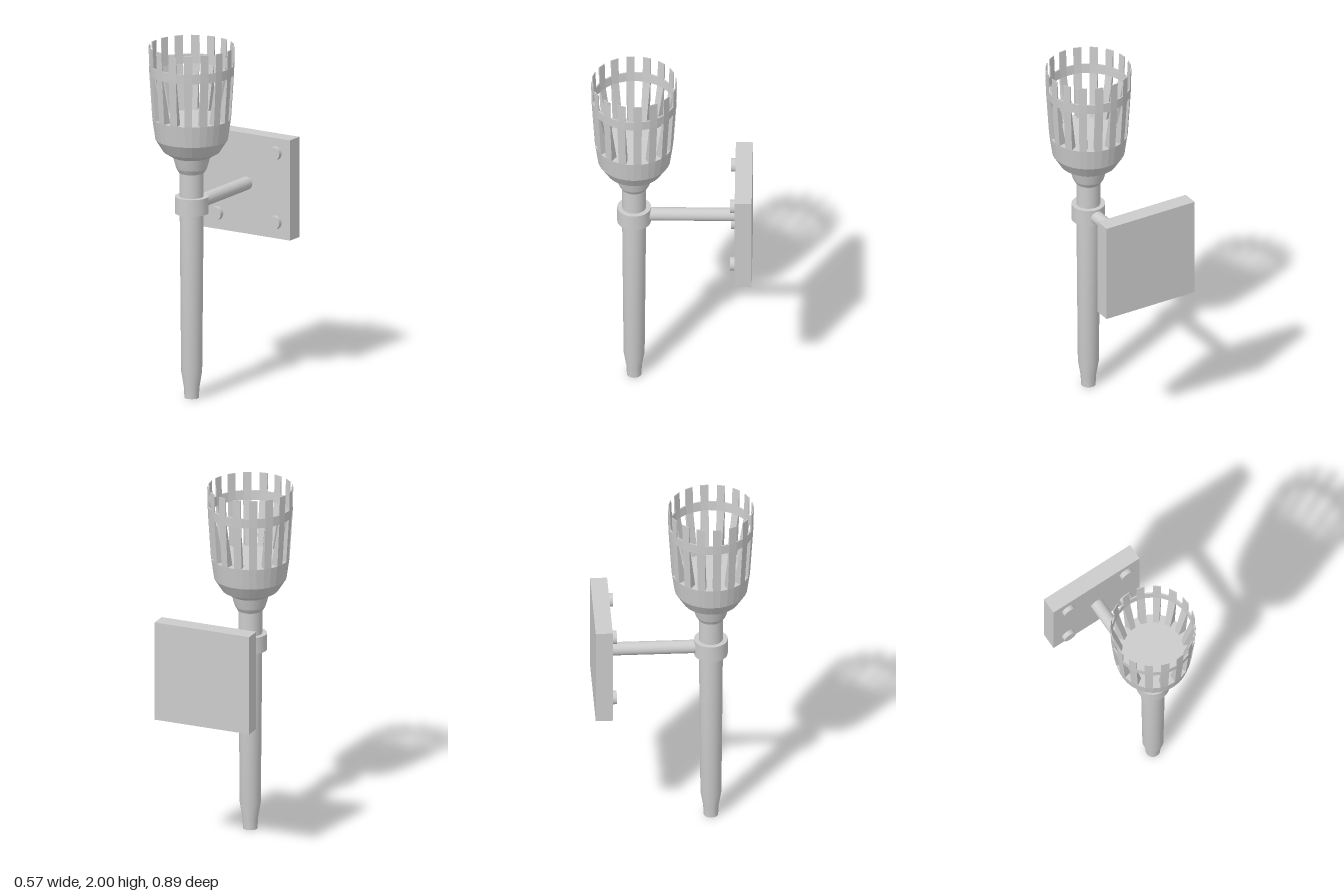
import * as THREE from 'three';
import { mergeGeometries, toCreasedNormals } from 'three/addons/utils/BufferGeometryUtils.js';

const SIDES = 32;
const TORCH_Z = 0.205;
const smooth = new THREE.MeshStandardMaterial({ color: 0xcccccc });
const faceted = new THREE.MeshStandardMaterial({ color: 0xcccccc, flatShading: true });

function add(parent, name, geometry, material = smooth) {
  const mesh = new THREE.Mesh(geometry, material);
  mesh.name = name;
  parent.add(mesh);
  return mesh;
}

// Turned part from [radius, y] pairs, smooth around and sharp at profile corners
function turned(profile) {
  const points = profile.map(([r, y]) => new THREE.Vector2(r, y));
  return toCreasedNormals(new THREE.LatheGeometry(points, SIDES), 0.25);
}

// Solid strip between two angles, from [y, inner radius, outer radius] levels
function strip(levels, a0, a1) {
  const positions = [];
  const index = [];
  for (const [y, rIn, rOut] of levels) {
    for (const [r, a] of [[rIn, a0], [rOut, a0], [rOut, a1], [rIn, a1]]) {
      positions.push(r * Math.sin(a), y, r * Math.cos(a));
    }
  }
  const quad = (a, b, c, d) => index.push(a, b, c, a, c, d);
  for (let l = 0; l < levels.length - 1; l++) {
    for (let i = 0; i < 4; i++) {
      const a = l * 4 + i, b = l * 4 + (i + 1) % 4;
      quad(a, b, b + 4, a + 4);
    }
  }
  const t = (levels.length - 1) * 4;
  quad(3, 2, 1, 0);
  quad(t, t + 1, t + 2, t + 3);
  const geometry = new THREE.BufferGeometry();
  geometry.setAttribute('position', new THREE.Float32BufferAttribute(positions, 3));
  geometry.setIndex(index);
  const flat = geometry.toNonIndexed();
  flat.computeVertexNormals();
  return flat;
}

export function createModel() {
  const model = new THREE.Group();
  model.name = 'wallTorch';

  const torch = new THREE.Group();
  torch.name = 'torch';
  torch.position.z = TORCH_Z;
  model.add(torch);

  // Handle with tapered foot
  add(torch, 'handle', turned([[0, 0], [0.04, 0], [0.043, 0.06], [0.058, 0.15], [0.066, 1.05], [0.066, 1.29], [0, 1.29]]));

  // Clamp ring around the handle
  add(torch, 'clamp', turned([[0.06, 1.05], [0.093, 1.05], [0.093, 1.145], [0.06, 1.145]]));

  // Flared collar under the bowl
  add(torch, 'collar', turned([[0, 1.28], [0.07, 1.28], [0.085, 1.305], [0.095, 1.34], [0.105, 1.38], [0, 1.38]]));

  // Bowl, closed on top by a flat floor
  const bowl = [[0, 1.37], [0.105, 1.37], [0.155, 1.4], [0.2, 1.47], [0.217, 1.59], [0, 1.59]];
  add(torch, 'bowl', new THREE.LatheGeometry(bowl.map(([r, y]) => new THREE.Vector2(r, y)), SIDES), faceted);

  // Hoop joining the bars
  const hoop = [[0.224, 1.84], [0.233, 1.84], [0.235, 1.895], [0.227, 1.895], [0.224, 1.84]];
  add(torch, 'basketHoop', new THREE.LatheGeometry(hoop.map(([r, y]) => new THREE.Vector2(r, y)), SIDES), faceted);

  // Sixteen bars, thick at the foot and thin at the tip
  const levels = [[1.59, 0.17, 0.217], [1.84, 0.224, 0.233], [1.895, 0.227, 0.235], [2, 0.232, 0.237]];
  const step = Math.PI * 2 / SIDES;
  const bars = [];
  for (let i = 0; i < SIDES; i += 2) bars.push(strip(levels, i * step, (i + 1) * step));
  add(torch, 'basketBars', mergeGeometries(bars), faceted);

  // Wall plate
  add(model, 'wallPlate', new THREE.BoxGeometry(0.57, 0.57, 0.094)).position.set(0, 1.095, -0.398);

  // Arm from plate to clamp
  const arm = add(model, 'arm', new THREE.CylinderGeometry(0.037, 0.037, 0.49, SIDES));
  arm.rotation.x = Math.PI / 2;
  arm.position.set(0, 1.097, -0.115);

  // Four bolts on the plate
  for (const x of [-0.191, 0.191]) {
    for (const y of [0.902, 1.295]) {
      const bolt = add(model, 'bolt', new THREE.CylinderGeometry(0.038, 0.038, 0.04, SIDES));
      bolt.rotation.x = Math.PI / 2;
      bolt.position.set(x, y, -0.345);
    }
  }
  return model;
}
